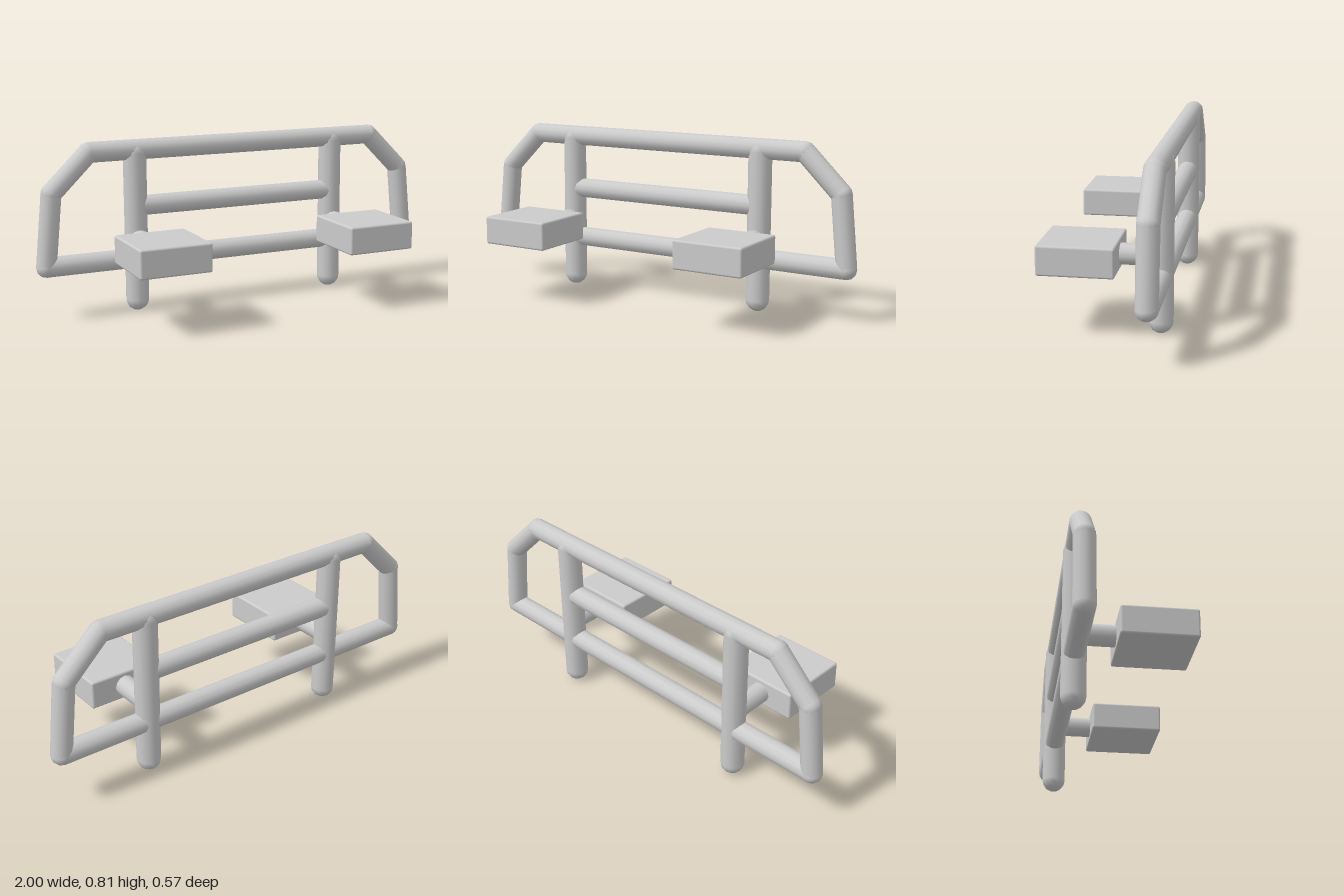
import * as THREE from 'three';
import { RoundedBoxGeometry } from 'three/addons/geometries/RoundedBoxGeometry.js';

const material = new THREE.MeshStandardMaterial({ color: 0xcccccc });
const FRAME_Z = -0.23;
const TUBE = 0.048;
const SIDES = 12;

function add(parent, name, geometry, x = 0, y = 0, z = 0) {
  const mesh = new THREE.Mesh(geometry, material);
  mesh.name = name;
  mesh.position.set(x, y, z);
  parent.add(mesh);
  return mesh;
}

// Straight round bar between two points
function addBar(parent, name, a, b, radius = TUBE) {
  const dir = b.clone().sub(a);
  const mid = a.clone().add(b).multiplyScalar(0.5);
  const bar = add(parent, name, new THREE.CylinderGeometry(radius, radius, dir.length(), SIDES, 1, true), mid.x, mid.y, mid.z);
  bar.quaternion.setFromUnitVectors(new THREE.Vector3(0, 1, 0), dir.normalize());
  return bar;
}

export function createModel() {
  const model = new THREE.Group();
  model.name = 'bullBar';

  // Closed outer loop: right half of the outline, mirrored
  const loop = new THREE.Group();
  loop.name = 'outerLoop';
  const half = [[0.952, 0.252], [0.918, 0.59], [0.738, 0.767]];
  const corners = [...half, ...half.map(([x, y]) => [-x, y]).reverse()]
    .map(([x, y]) => new THREE.Vector3(x, y, FRAME_Z));
  corners.forEach((p, i) => {
    addBar(loop, 'loopBar', p, corners[(i + 1) % corners.length]);
    const joint = add(loop, 'loopElbow', new THREE.SphereGeometry(TUBE, SIDES, 8), p.x, p.y, p.z);
    joint.rotation.x = Math.PI / 2;
  });
  model.add(loop);

  // Middle crossbar between the posts
  addBar(model, 'crossbar', new THREE.Vector3(-0.515, 0.502, FRAME_Z), new THREE.Vector3(0.515, 0.502, FRAME_Z));

  for (const side of [1, -1]) {
    const x = side * 0.517;
    // Upright post with rounded ends
    add(model, 'post', new THREE.CapsuleGeometry(0.055, 0.698, 4, SIDES), x, 0.404, FRAME_Z);
    // Mounting arm and block reaching forward
    addBar(model, 'mountArm', new THREE.Vector3(x, 0.347, FRAME_Z), new THREE.Vector3(x, 0.347, -0.04));
    add(model, 'mountBlock', new RoundedBoxGeometry(0.338, 0.133, 0.338, 2, 0.01), x, 0.347, 0.115);
  }

  return model;
}
